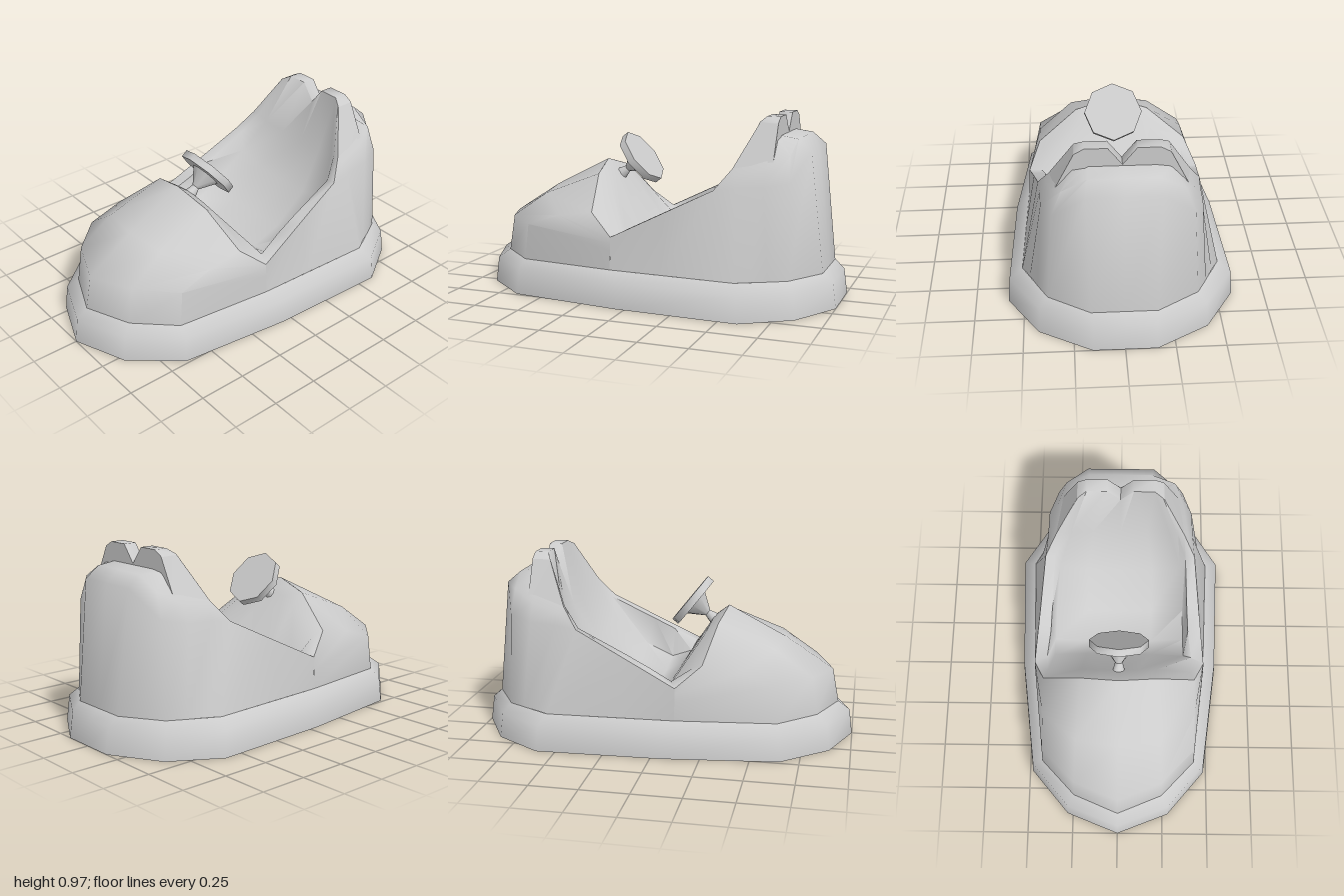
import * as THREE from 'three';
import { toCreasedNormals } from 'three/addons/utils/BufferGeometryUtils.js';

const material = new THREE.MeshStandardMaterial({ color: 0xcccccc, side: THREE.DoubleSide });
const flip = ([x, y, z]) => [-x, y, z];
// Half rows (x >= 0) completed to full width, starting at or ending at the centre line
const fromCentre = (row) => [...row.slice(1).reverse().map(flip), ...row];
const toCentre = (row) => [...row, ...row.slice(0, -1).reverse().map(flip)];

// Skin a grid of points, skipping collapsed triangles
function skin(name, rows, crease = 1.1) {
  const out = [];
  const tri = (...p) => {
    const [a, b, c] = p.map((v) => new THREE.Vector3(...v));
    if (new THREE.Triangle(a, b, c).getArea() > 1e-6) out.push(...p.flat());
  };
  for (let i = 0; i + 1 < rows.length; i++) {
    for (let j = 0; j + 1 < rows[i].length; j++) {
      const a = rows[i][j], b = rows[i][j + 1], c = rows[i + 1][j + 1], d = rows[i + 1][j];
      tri(a, b, c);
      tri(a, c, d);
    }
  }
  const g = new THREE.BufferGeometry();
  g.setAttribute('position', new THREE.Float32BufferAttribute(out, 3));
  const mesh = new THREE.Mesh(toCreasedNormals(g, crease), material);
  mesh.name = name;
  return mesh;
}

function turned(name, top, bottom, height, y) {
  const g = new THREE.CylinderGeometry(top, bottom, height, 8).translate(0, y, 0);
  const mesh = new THREE.Mesh(toCreasedNormals(g, 0.85), material);
  mesh.name = name;
  return mesh;
}

export function createModel() {
  const car = new THREE.Group();
  car.name = 'bumperCar';

  // Bumper: tapered skirt around the whole car, closed underneath
  const outer = [[0, 1], [0.28, 0.89], [0.485, 0.65], [0.56, 0.05], [0.583, -0.6], [0.425, -0.85], [0.16, -1], [0, -1]];
  const inner = [[0, 0.92], [0.24, 0.82], [0.42, 0.63], [0.48, 0.11], [0.505, -0.56], [0.375, -0.8], [0.165, -0.93], [0, -0.93]];
  const ring = (pts, y, s = 1) => toCentre(pts.map(([x, z]) => [x * s, y, z * s]));
  car.add(skin('bumper', [ring(outer, 0, 0), ring(outer, 0), ring(outer, 0.135, 0.982), ring(inner, 0.18)], 1.25));

  // Hood: rows from the bumper up to the edge of the dash
  const hood = [
    [[0, 0.18, 0.92], [0.24, 0.18, 0.82], [0.42, 0.18, 0.63], [0.48, 0.18, 0.11]],
    [[0, 0.36, 0.885], [0.235, 0.375, 0.79], [0.412, 0.37, 0.61], [0.475, 0.28, 0.11]],
    [[0, 0.525, 0.63], [0.225, 0.51, 0.595], [0.41, 0.43, 0.43], [0.472, 0.32, 0.11]],
    [[0, 0.685, 0.32], [0.2, 0.63, 0.29], [0.41, 0.46, 0.24], [0.47, 0.35, 0.11]],
  ];
  car.add(skin('hood', hood.map(fromCentre)));

  // Rear shell: columns from the cockpit corner round to the middle of the back
  const rim = [[0.47, 0.35, 0.11], [0.437, 0.49, -0.17], [0.41, 0.615, -0.42], [0.35, 0.72, -0.5]];
  const sill = rim.slice(0, 3);
  const shell = [
    [[0.48, 0.18, 0.11], [0.49, 0.18, -0.17], [0.505, 0.18, -0.56], [0.465, 0.18, -0.63],
      [0.425, 0.18, -0.71], [0.375, 0.18, -0.8], [0.165, 0.18, -0.93], [0, 0.18, -0.93]],
    [...sill, [0.4, 0.63, -0.53], [0.395, 0.64, -0.67], [0.345, 0.66, -0.79], [0.18, 0.8, -0.86], [0, 0.8, -0.86]],
    [...sill, [0.37, 0.69, -0.52], [0.345, 0.73, -0.67], [0.295, 0.79, -0.78], [0.17, 0.86, -0.79], [0, 0.86, -0.79]],
    [...sill, rim[3], [0.3, 0.79, -0.67], [0.23, 0.865, -0.69], [0.16, 0.875, -0.69], [0, 0.875, -0.69]],
  ];
  car.add(skin('rearShell', shell.map(toCentre)));

  // Cockpit: dash, floor, curved backrest and the notched headrest
  const headrest = (z, zEdge) => [[0, 0.88, z], [0.07, 0.97, z], [0.18, 0.97, z], [0.225, 0.945, zEdge], [0.23, 0.94, zEdge]];
  const front = headrest(-0.63, -0.605), back = headrest(-0.7, -0.7);
  const backLow = [[0, 0.74, -0.7], [0.07, 0.74, -0.7], [0.18, 0.74, -0.7], [0.3, 0.74, -0.7], [0.33, 0.74, -0.7]];
  const cockpit = [
    [[0, 0.685, 0.32], [0.1, 0.657, 0.305], [0.2, 0.63, 0.29], [0.41, 0.46, 0.24], rim[0]],
    [[0, 0.62, 0.24], [0.1, 0.605, 0.235], [0.2, 0.57, 0.22], [0.39, 0.44, 0.19], rim[0]],
    [[0, 0.3, 0.04], [0.18, 0.3, 0.04], [0.36, 0.31, 0.05], [0.4, 0.365, 0.08], rim[0]],
    [[0, 0.24, -0.06], [0.18, 0.24, -0.06], [0.36, 0.27, -0.06], [0.38, 0.43, -0.05], [0.45, 0.435, -0.06]],
    [[0, 0.3, -0.22], [0.18, 0.3, -0.22], [0.355, 0.34, -0.21], [0.372, 0.49, -0.17], rim[1]],
    [[0, 0.45, -0.41], [0.18, 0.455, -0.41], [0.335, 0.5, -0.41], [0.36, 0.61, -0.42], rim[2]],
    [[0, 0.65, -0.55], [0.15, 0.655, -0.55], [0.27, 0.68, -0.53], [0.315, 0.715, -0.505], rim[3]],
    front, back,
  ];
  car.add(skin('cockpit', cockpit.map(fromCentre), 1.3));

  // Headrest back and sides
  const side = [[rim[3], backLow[4]], [front[4], back[4]]];
  car.add(skin('headrestBack', [back, backLow].map(fromCentre)));
  car.add(skin('headrestSideLeft', side));
  car.add(skin('headrestSideRight', side.map((r) => r.map(flip).reverse())));

  // Steering wheel on its tilted, waisted column
  const steering = new THREE.Group();
  steering.name = 'steering';
  steering.add(
    turned('steeringWheel', 0.157, 0.157, 0.04, 0),
    turned('steeringHub', 0.08, 0.02, 0.085, -0.0625),
    turned('steeringColumn', 0.02, 0.034, 0.05, -0.13),
  );
  steering.position.set(0, 0.7, 0.12);
  steering.rotation.x = -0.9;
  car.add(steering);

  return car;
}
